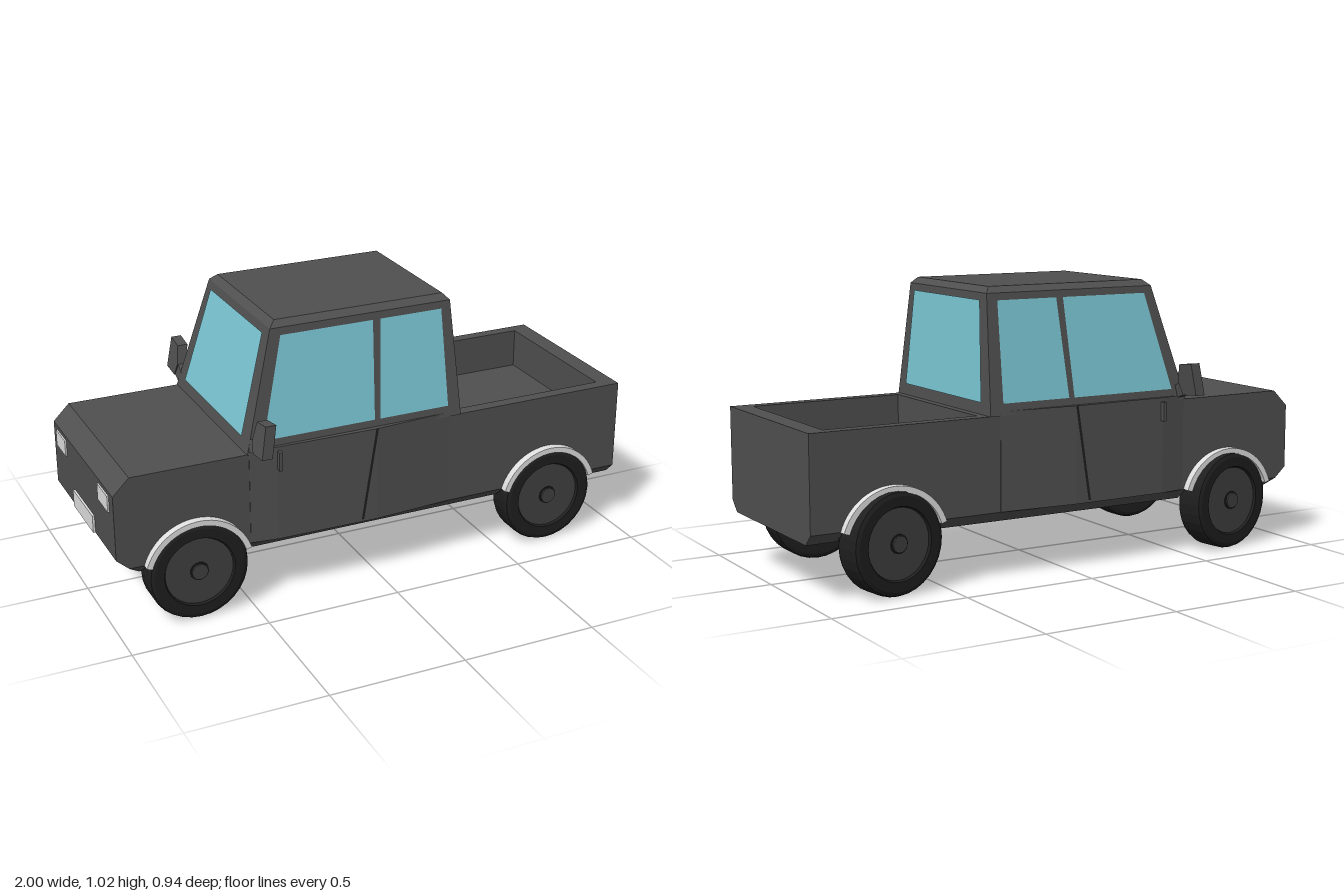
import * as THREE from 'three';

const mat = (name, color, side = THREE.FrontSide) => {
  const m = new THREE.MeshStandardMaterial({ color, side });
  m.name = name;
  return m;
};

export function createModel() {
  const truck = new THREE.Group();
  truck.name = 'pickupTruck';
  const paint = mat('charcoalPaint', 0x505050);
  const glass = mat('blueGlass', 0x7ac6d4, THREE.DoubleSide);
  const rubber = mat('blackRubber', 0x1f1f1f, THREE.DoubleSide);
  const rimGrey = mat('rimGrey', 0x414141);
  const trim = mat('lightTrim', 0xe0e0e0);

  const add = (name, geo, material, parent = truck) => {
    const m = new THREE.Mesh(geo, material);
    m.name = name;
    parent.add(m);
    return m;
  };
  const box = (name, x0, x1, y0, y1, z0, z1, material) =>
    add(name, new THREE.BoxGeometry(x1 - x0, y1 - y0, z1 - z0)
      .translate((x0 + x1) / 2, (y0 + y1) / 2, (z0 + z1) / 2), material);
  // Tapered block between two rectangles, each given as [xMin, xMax, halfWidth]
  const slab = (name, y0, low, y1, high, material) => {
    const g = new THREE.BoxGeometry(1, 1, 1), p = g.attributes.position;
    for (let i = 0; i < p.count; i++) {
      const up = p.getY(i) > 0, r = up ? high : low;
      p.setXYZ(i, p.getX(i) > 0 ? r[1] : r[0], up ? y1 : y0, p.getZ(i) > 0 ? r[2] : -r[2]);
    }
    g.computeVertexNormals();
    return add(name, g, material);
  };
  // Flat four-cornered sheet
  const pane = (name, [a, b, c, d], material) => {
    const g = new THREE.BufferGeometry();
    g.setAttribute('position', new THREE.Float32BufferAttribute([...a, ...b, ...c, ...a, ...c, ...d], 3));
    g.computeVertexNormals();
    return add(name, g, material);
  };
  const polygon = pts => new THREE.Shape(pts.map(p => new THREE.Vector2(...p)));
  const extrude = (shape, depth, curveSegments = 12) =>
    new THREE.ExtrudeGeometry(shape, { depth, bevelEnabled: false, curveSegments });

  // Body: side profile with wheel tunnels and a sunken load bed
  const HW = 0.345, AX = 0.7, AY = 0.18, AR = 0.19;
  const half = y => Math.sqrt(AR * AR - (y - AY) ** 2);
  const a0 = Math.asin(0.06 / AR);
  const side = polygon([[-0.945, 0.24], [-0.99, 0.28], [-0.99, 0.52], [-0.93, 0.58], [0.35, 0.58],
    [0.35, 0.43], [0.93, 0.43], [0.93, 0.58], [1, 0.58], [1, 0.24]].reverse());
  side.curves.length = 0;
  side.currentPoint.set(-0.945, 0.24);
  side.lineTo(-0.99, 0.28).lineTo(-0.99, 0.52).lineTo(-0.93, 0.58).lineTo(0.35, 0.58)
    .lineTo(0.35, 0.43).lineTo(0.93, 0.43).lineTo(0.93, 0.58).lineTo(1, 0.58).lineTo(1, 0.24);
  for (const x of [AX, -AX]) {
    side.lineTo(x + half(0.24), 0.24);
    side.absarc(x, AY, AR, a0, Math.PI - a0, false);
  }
  add('body', extrude(side, HW * 2).translate(0, 0, -HW), paint);

  // Chamfered sills under the body
  const hl = half(0.2), hu = half(0.24), LW = 0.305;
  slab('middleSill', 0.2, [-AX + hl, AX - hl, LW], 0.24, [-AX + hu, AX - hu, HW], paint);
  slab('rearSill', 0.2, [AX + hl, 1, LW], 0.24, [AX + hu, 1, HW], paint);
  slab('noseSill', 0.2, [-0.9, -AX - hl, LW], 0.24, [-0.945, -AX - hu, HW], paint);

  // Cab and bevelled roof
  slab('cab', 0.58, [-0.508, 0.322, 0.35], 1.0, [-0.39, 0.3, 0.285], paint);
  slab('roof', 1.0, [-0.39, 0.3, 0.285], 1.022, [-0.365, 0.28, 0.262], paint);

  // Points on the sloping cab faces, lifted slightly outward
  const t = y => (y - 0.58) / 0.42;
  const onSide = (s, x, y) => [x, y, s * (0.354 - 0.065 * t(y))];
  const onFront = (y, z) => [-0.512 + 0.118 * t(y), y, z];
  const onRear = (y, z) => [0.326 - 0.022 * t(y), y, z];
  const B = 0.622, T = 0.975;
  pane('windscreen', [onFront(B, -0.28), onFront(B, 0.28), onFront(T, 0.243), onFront(T, -0.243)], glass);
  pane('rearWindow', [onRear(B, -0.286), onRear(B, 0.286), onRear(T, 0.246), onRear(T, -0.246)], glass);

  for (const s of [1, -1]) {
    const tag = s > 0 ? 'left' : 'right';
    // Load bed wall
    box(tag + 'BedWall', 0.35, 0.93, 0.43, 0.58, s * 0.3225 - 0.0225, s * 0.3225 + 0.0225, paint);

    // Side windows
    pane(tag + 'FrontWindow', [onSide(s, -0.445, B), onSide(s, -0.022, B), onSide(s, -0.006, T), onSide(s, -0.355, T)], glass);
    pane(tag + 'BackWindow', [onSide(s, 0, B), onSide(s, 0.27, B), onSide(s, 0.262, T), onSide(s, 0.022, T)], glass);

    // Slightly bulging doors with a dark seam
    const plan = polygon([[-0.5, -0.34], [-0.5, -0.347], [-0.4, -0.36], [-0.02, -0.366], [0.28, -0.346], [0.28, -0.34]]
      .map(([x, z]) => [x, s * z]));
    add(tag + 'Doors', extrude(plan, 0.355).rotateX(-Math.PI / 2).translate(0, 0.24, 0), paint);
    const z = s * 0.368;
    pane(tag + 'DoorSeam', [[-0.081, 0.25, z], [-0.071, 0.25, z], [-0.016, 0.595, z], [-0.026, 0.595, z]], rubber);
    box(tag + 'DoorHinge', -0.401, -0.389, 0.51, 0.58, s * 0.368 - 0.011, s * 0.368 + 0.011, paint);

    // Mirror with stalk, leaning back with height
    const mirror = (name, pts, depth) => {
      const g = extrude(polygon(pts.map(([q, y]) => [s * q, y])), depth)
        .translate(0, 0, -depth / 2).rotateY(-Math.PI / 2);
      const p = g.attributes.position;
      for (let i = 0; i < p.count; i++) p.setX(i, p.getX(i) - 0.477 + (p.getY(i) - 0.65) * 0.16);
      g.computeVertexNormals();
      add(name, g, paint);
    };
    mirror(tag + 'MirrorStalk', [[0.335, 0.585], [0.39, 0.603], [0.372, 0.65], [0.335, 0.63]], 0.03);
    mirror(tag + 'Mirror', [[0.39, 0.603], [0.471, 0.61], [0.462, 0.727], [0.388, 0.717], [0.37, 0.648]], 0.038);

    // Headlight
    box(tag + 'Headlight', -0.996, -0.98, 0.445, 0.505, s * 0.245 - 0.055, s * 0.245 + 0.055, trim);

    for (const x of [-AX, AX]) {
      const end = x < 0 ? 'Front' : 'Rear';
      // Arch trim
      const arch = new THREE.Shape(), e = 0.3;
      arch.absarc(0, 0, 0.201, e, Math.PI - e, false);
      arch.absarc(0, 0, 0.18, Math.PI - e, e, true);
      add(tag + end + 'Arch', extrude(arch, 0.032, 16)
        .translate(x, AY, s > 0 ? 0.342 : -0.374), trim);

      // Wheel; the right-hand pair is turned slightly
      const wheel = new THREE.Group();
      wheel.name = tag + end + 'Wheel';
      wheel.position.set(x, 0.183, s > 0 ? 0.315 : -0.33);
      wheel.rotation.y = s > 0 ? 0 : Math.PI + 0.16;
      truck.add(wheel);
      const profile = [[0, -0.055], [0.165, -0.055], [0.178, -0.05], [0.183, -0.038], [0.183, 0.038],
        [0.178, 0.05], [0.165, 0.055], [0.13, 0.055], [0.124, 0.042]].map(p => new THREE.Vector2(...p));
      const tyre = new THREE.LatheGeometry(profile, 32).rotateX(Math.PI / 2).toNonIndexed();
      tyre.computeVertexNormals();
      add('tyre', tyre, rubber, wheel);
      const disc = (name, r, z0, z1, m) => add(name, new THREE.CylinderGeometry(r, r, z1 - z0, 32)
        .rotateX(Math.PI / 2).translate(0, 0, (z0 + z1) / 2), m, wheel);
      disc('rim', 0.125, 0.03, 0.046, rimGrey);
      disc('hubRing', 0.034, 0.046, 0.05, rubber);
      disc('hubCap', 0.029, 0.046, 0.056, rimGrey);
    }
  }

  // Number plate block, reaching back through the nose
  box('numberPlate', -0.998, -0.85, 0.28, 0.345, -0.115, 0.115, trim);
  return truck;
}
